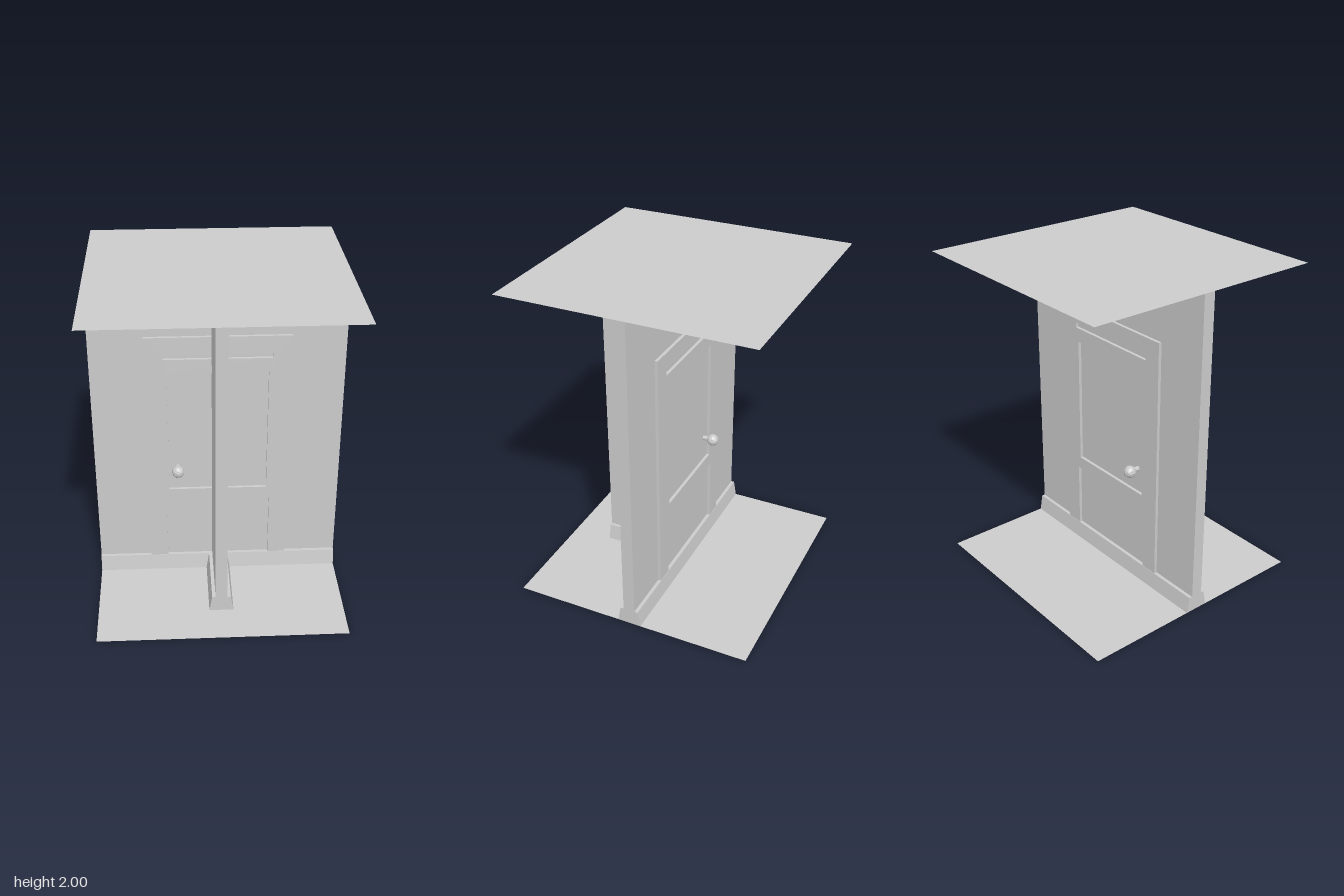
import * as THREE from 'three';

const WALL = 0.036;   // half thickness of the walls
const DOOR = 0.055;   // door face distance from the centre plane
const material = new THREE.MeshStandardMaterial({ color: 0xcccccc, flatShading: true });
const thin = new THREE.MeshStandardMaterial({ color: 0xcccccc, side: THREE.DoubleSide });

function add(parent, name, geometry, x = 0, y = 0, z = 0, mat = material) {
  const mesh = new THREE.Mesh(geometry, mat);
  mesh.name = name;
  mesh.position.set(x, y, z);
  parent.add(mesh);
  return mesh;
}

function rect(shape, x, y0, y1) {
  shape.moveTo(-x, y0);
  shape.lineTo(x, y0);
  shape.lineTo(x, y1);
  shape.lineTo(-x, y1);
  shape.closePath();
  return shape;
}

// Flared skirting board running along z
function skirting(length) {
  const profile = new THREE.Shape([[-0.074, 0], [0.074, 0], [0.057, 0.1], [-0.057, 0.1]]
    .map(([x, y]) => new THREE.Vector2(x, y)));
  return new THREE.ExtrudeGeometry(profile, { depth: length, bevelEnabled: false });
}

// Door face with recessed panels, plus its knob
function doorFace() {
  const group = new THREE.Group();
  const shape = rect(new THREE.Shape(), 0.43, 0, 1.63);
  for (const [x, y0, y1] of [[0.32, 0.05, 0.52], [0.3, 0.6, 1.4], [0.32, 1.49, 1.52]]) {
    shape.holes.push(rect(new THREE.Path(), x, y0, y1));
  }
  const leaf = new THREE.ExtrudeGeometry(shape, { depth: DOOR - WALL, bevelEnabled: false });
  add(group, 'doorLeaf', leaf, 0, 0, WALL);
  return group;
}

function addKnob(parent, x) {
  const stem = new THREE.CylinderGeometry(0.015, 0.015, 0.06, 8).rotateX(Math.PI / 2);
  add(parent, 'knobStem', stem, x, 0.755, 0.065);
  add(parent, 'knob', new THREE.IcosahedronGeometry(0.038, 1), x, 0.755, 0.1);
}

export function createModel() {
  const model = new THREE.Group();
  model.name = 'doorwayWithWalls';

  // Floor and ceiling sheets
  for (const [name, y] of [['floor', 0], ['ceiling', 2]]) {
    add(model, name, new THREE.PlaneGeometry(1.5, 1.5).rotateX(-Math.PI / 2), 0, y, 0, thin);
  }

  // Main wall and the dividing wall that meets it
  add(model, 'mainWall', new THREE.BoxGeometry(1.5, 2, WALL * 2), 0, 1, 0);
  add(model, 'dividingWall', new THREE.BoxGeometry(WALL * 2, 2, 0.5 - WALL), 0, 1, (0.5 + WALL) / 2);

  // Skirting boards
  add(model, 'mainSkirting', skirting(1.5).rotateY(Math.PI / 2), -0.75);
  add(model, 'dividingSkirting', skirting(0.5));

  // Door on both sides of the main wall, knobs on the same edge
  for (const side of [1, -1]) {
    const face = doorFace();
    face.name = side > 0 ? 'frontDoor' : 'backDoor';
    addKnob(face, -0.245 * side);
    face.rotation.y = side > 0 ? 0 : Math.PI;
    model.add(face);
  }
  return model;
}
